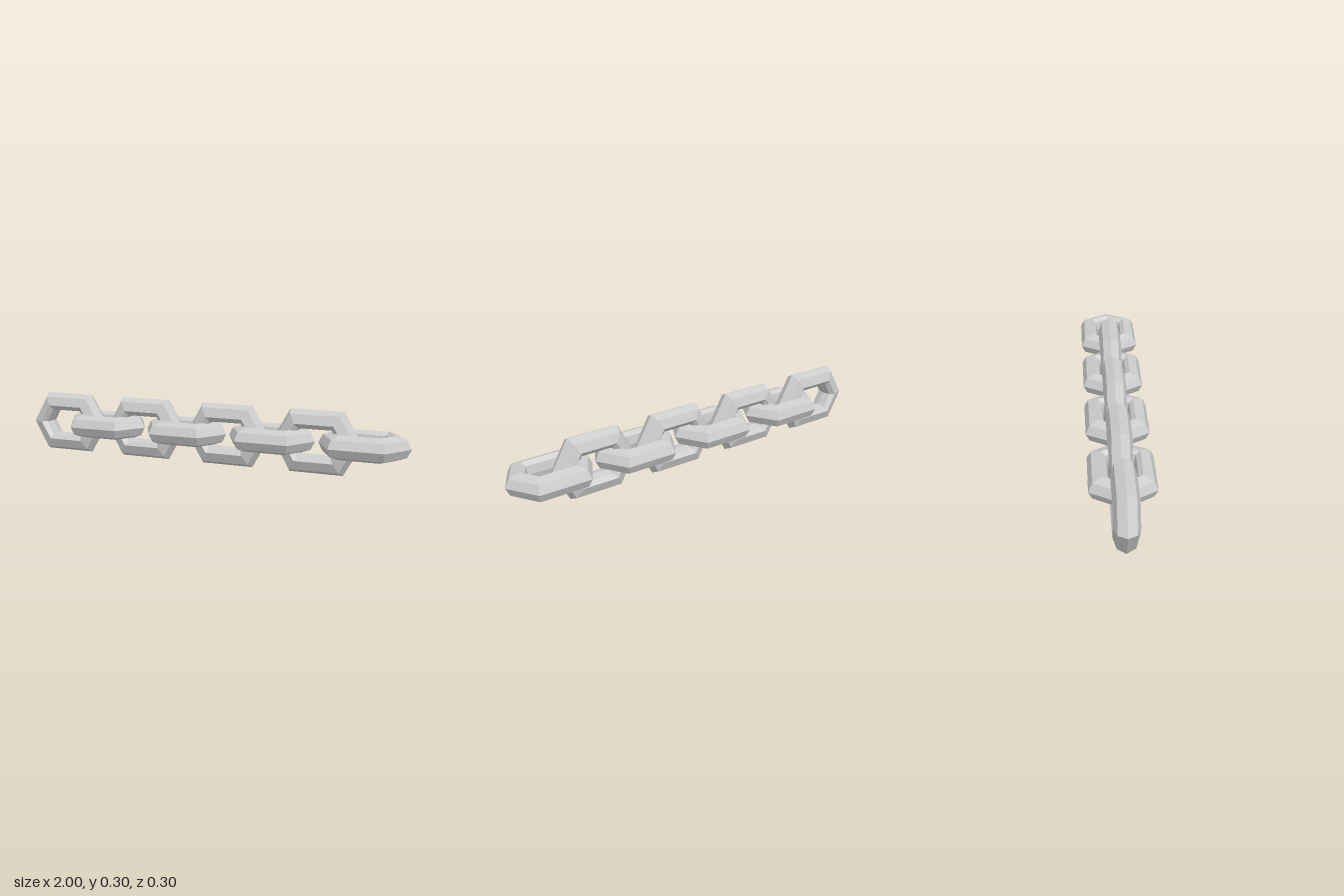
import * as THREE from 'three';

const LINKS = 8;
const PITCH = 0.224;     // distance between neighbouring link centres
const RING = 0.101;      // radius of the ring's widest line
const HALF_THICK = 0.057;
const OUTER = 0.072;     // depth of the bar outside the widest line
const INNER = 0.034;     // depth of the bar inside it
const STRETCH = 0.043;   // how far each half ring is pulled along x

// Six-sided ring with an eight-sided bar, flatter on the inside, pulled long
function linkGeometry() {
  const geo = new THREE.TorusGeometry(RING, HALF_THICK, 8, 6);
  const pos = geo.attributes.position;
  for (let i = 0; i < pos.count; i++) {
    const x = pos.getX(i), y = pos.getY(i);
    const r = Math.hypot(x, y);
    const d = (r - RING) / HALF_THICK;
    const k = (RING + d * (d > 0 ? OUTER : INNER)) / r;
    pos.setXY(i, x * k + Math.sign(x) * STRETCH, y * k);
  }
  const flat = geo.toNonIndexed();
  flat.computeVertexNormals();
  return flat;
}

export function createModel() {
  const chain = new THREE.Group();
  chain.name = 'chain';
  const geometry = linkGeometry();
  const material = new THREE.MeshStandardMaterial({ color: 0xcccccc, flatShading: true });

  // Links alternate between upright and lying flat
  for (let i = 0; i < LINKS; i++) {
    const link = new THREE.Mesh(geometry, material);
    const upright = i % 2 === 0;
    link.name = (upright ? 'uprightLink' : 'flatLink') + (i + 1);
    link.position.set((i - (LINKS - 1) / 2) * PITCH, 0.15, 0);
    if (!upright) link.rotation.x = Math.PI / 2;
    chain.add(link);
  }
  return chain;
}
